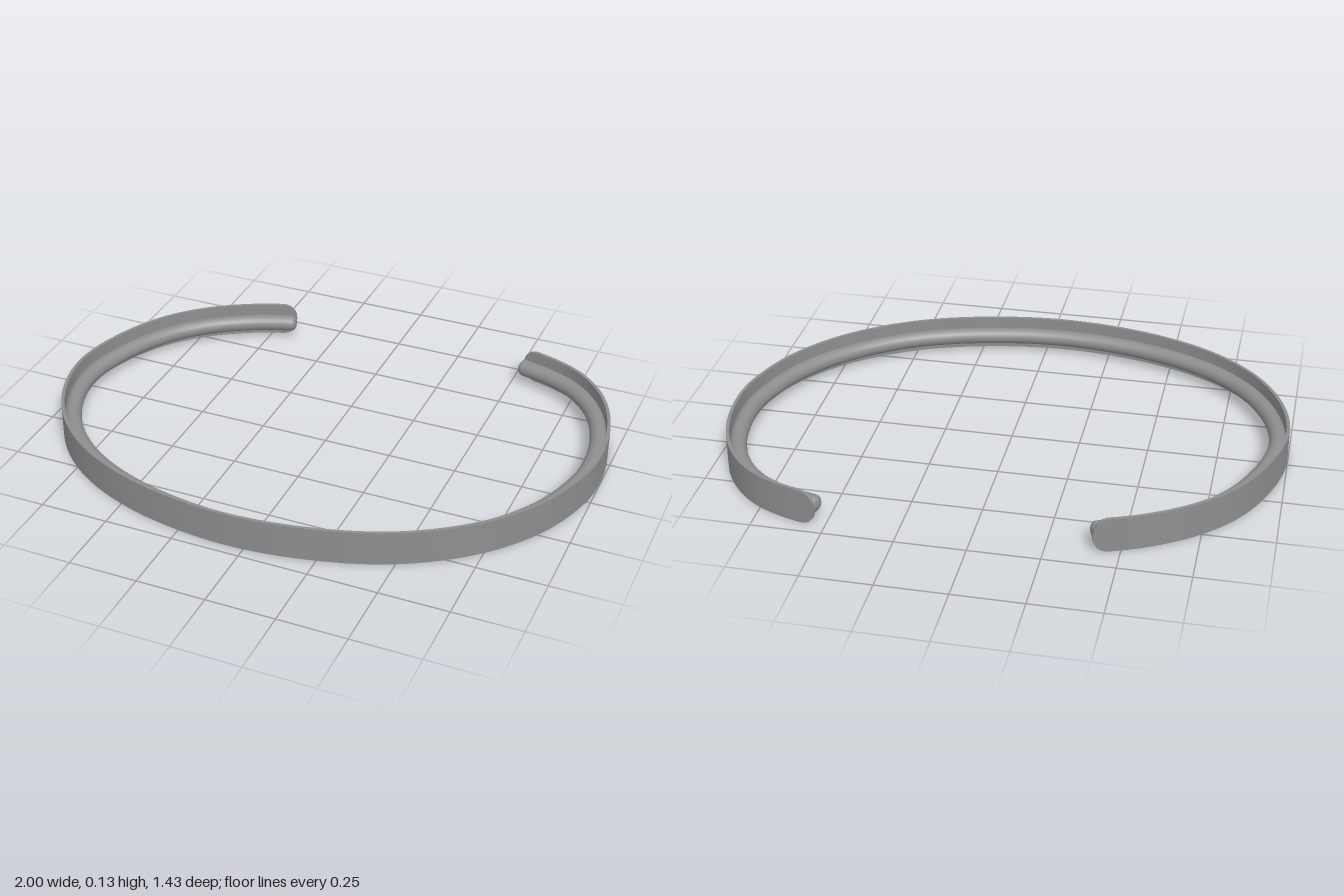
import * as THREE from 'three';
import { toCreasedNormals } from 'three/addons/utils/BufferGeometryUtils.js';

const HEIGHT = 0.127;

// outer outline of the cuff as x, z pairs, from one open end round to the other
const OUTLINE = [
  [-0.41, -0.68], [-0.56, -0.622], [-0.72, -0.525], [-0.85, -0.395], [-0.945, -0.22], [-0.998, 0],
  [-0.97, 0.19], [-0.87, 0.382], [-0.7, 0.54], [-0.45, 0.655], [-0.11, 0.711], [0.2, 0.683],
  [0.5, 0.587], [0.74, 0.425], [0.9, 0.225], [0.98, 0.02], [0.998, -0.107], [0.983, -0.28],
  [0.935, -0.43], [0.87, -0.535], [0.78, -0.62], [0.67, -0.675], [0.535, -0.714],
];
const path = new THREE.CatmullRomCurve3(OUTLINE.map(([x, z]) => new THREE.Vector3(x, 0, z)));
path.arcLengthDivisions = 1000;

// Sweep a section along the path. section(k) gives [inward, up] pairs, where k runs
// from 0 at the tips to 1 over the last `cap` units, so the ends can be rounded.
function sweep(section, cap, crease) {
  const length = path.getLength();
  const stations = [];
  const capSteps = 10, steps = 150;
  for (let i = 0; i < capSteps; i++) {
    const a = (i / capSteps) * Math.PI / 2;
    stations.push([cap * (1 - Math.cos(a)), Math.sin(a)]);
  }
  const tail = stations.map(([s, k]) => [length - s, k]).reverse();
  for (let i = 0; i <= steps; i++) stations.push([cap + (length - 2 * cap) * i / steps, 1]);
  stations.push(...tail);

  const positions = [], index = [];
  let n = 0;
  stations.forEach(([s, k], i) => {
    const p = path.getPointAt(s / length);
    const t = path.getTangentAt(s / length);
    const ring = section(k);
    n = ring.length;
    ring.forEach(([inward, up], j) => {
      positions.push(p.x + t.z * inward, HEIGHT / 2 + up, p.z - t.x * inward);
      if (i === 0) return;
      const a = (i - 1) * n + j, b = (i - 1) * n + (j + 1) % n;
      index.push(a, b, b + n, a, b + n, a + n);
    });
  });
  const geometry = new THREE.BufferGeometry();
  geometry.setAttribute('position', new THREE.Float32BufferAttribute(positions, 3));
  geometry.setIndex(index);
  geometry.computeVertexNormals();
  return crease ? toCreasedNormals(geometry, 0.6) : geometry;
}

export function createModel() {
  const group = new THREE.Group();
  group.name = 'cuffBracelet';
  const metal = new THREE.MeshStandardMaterial({ color: 0x8e8e8e });
  metal.name = 'grey metal';

  // thin flat outer band with rounded tips
  const bandSection = (k) => {
    const h = HEIGHT / 2 * Math.pow(k, 0.85), t = 0.012;
    return [[0, -h], [t, -h], [t, h], [0, h]];
  };
  const band = new THREE.Mesh(sweep(bandSection, 0.055, true), metal);
  band.name = 'outerBand';

  // round bar running along the inside of the band
  const barSection = (k) => Array.from({ length: 20 }, (_, j) => {
    const a = j / 20 * Math.PI * 2, r = 0.031 * k;
    return [0.039 + r * Math.cos(a), r * Math.sin(a)];
  });
  const bar = new THREE.Mesh(sweep(barSection, 0.02, false), metal);
  bar.name = 'innerBar';

  group.add(band, bar);
  return group;
}
